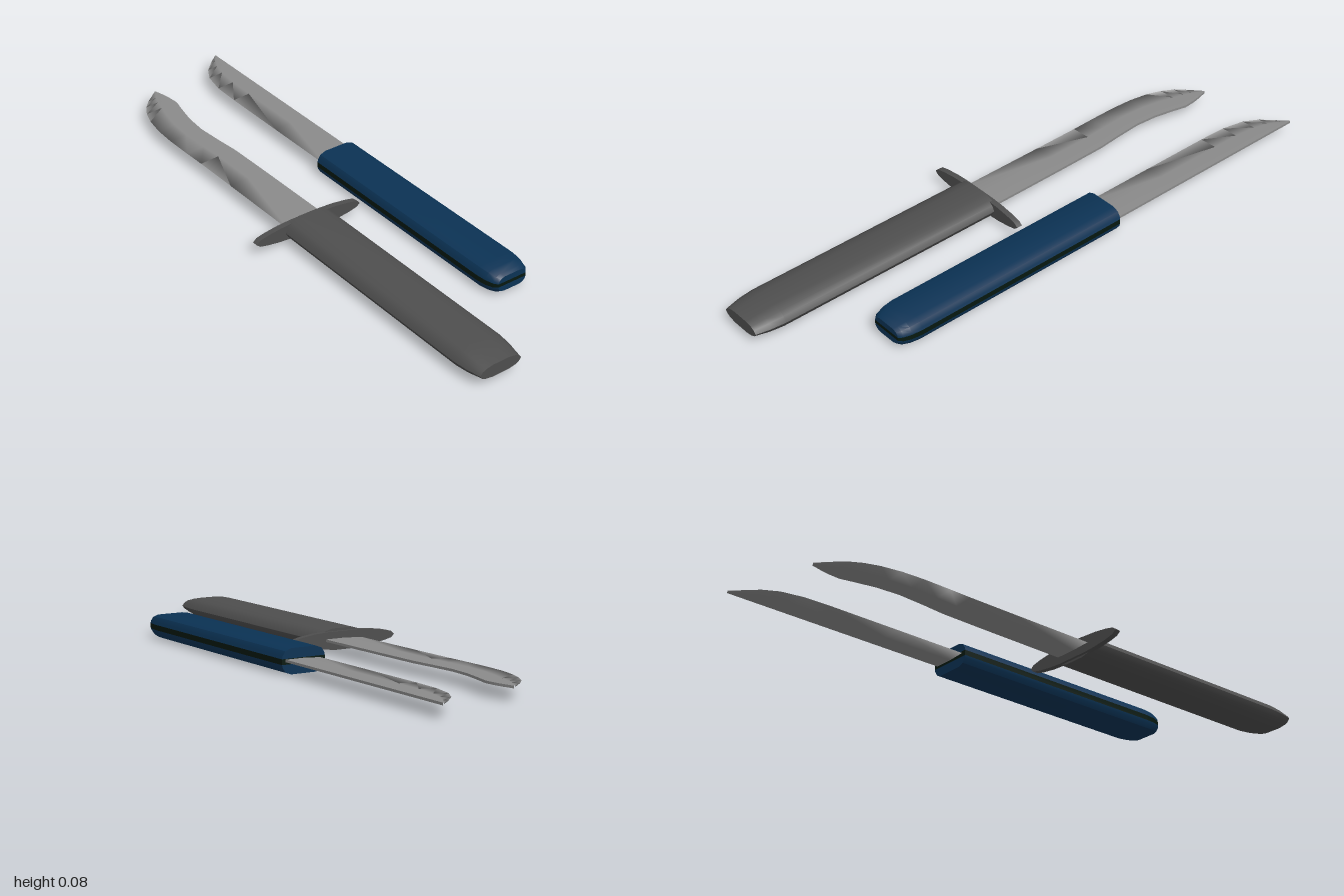
import * as THREE from 'three';
import { toCreasedNormals } from 'three/addons/utils/BufferGeometryUtils.js';

const material = (name, color) => {
  const m = new THREE.MeshStandardMaterial({ color });
  m.name = name;
  return m;
};

// Skin rings of [x, y, z] points; each ring runs up its -z side and down its +z side.
// "bands" picks the strips between ring points; caps join mirrored points of the end rings.
function loft(rings, bands, { caps = false, crease = 0 } = {}) {
  const n = rings[0].length, index = [];
  const quad = (a, b, c, d) => index.push(a, b, c, a, c, d);
  for (let r = 0; r < rings.length - 1; r++)
    for (const i of bands) {
      const j = (i + 1) % n, a = r * n, b = a + n;
      quad(a + i, a + j, b + j, b + i);
    }
  if (caps) {
    const e = (rings.length - 1) * n;
    for (const k of bands) {
      if (k >= n / 2 - 1) continue;
      quad(n - 1 - k, n - 2 - k, k + 1, k);
      quad(e + k, e + k + 1, e + n - 2 - k, e + n - 1 - k);
    }
  }
  const g = new THREE.BufferGeometry();
  g.setAttribute('position', new THREE.Float32BufferAttribute(rings.flat(2), 3));
  g.setIndex(index);
  if (crease) return toCreasedNormals(g, crease);
  g.computeVertexNormals();
  return g;
}

// Ring mirrored in z from half a section of [half width, height]
const mirrored = (x, cy, cz, half, sz, sy) => [
  ...half.map(([w, h]) => [x, cy + h * sy, cz - w * sz]),
  ...[...half].reverse().map(([w, h]) => [x, cy + h * sy, cz + w * sz]),
];

const range = (n) => [...Array(n).keys()];

export function createModel() {
  const model = new THREE.Group();
  const steel = material('steel', 0x8a8a8a);
  const grey = material('dark grey', 0x4e4e4e);
  const blue = material('navy blue', 0x0b3254);
  const green = material('dark green', 0x07180f);

  const add = (parent, name, geometry, mat) => {
    const mesh = new THREE.Mesh(geometry, mat);
    mesh.name = name;
    parent.add(mesh);
  };

  // Blade from stations of [x, spine z, edge z]: flat by the spine, ground to the edge
  const addBlade = (parent, stations) => {
    const y = 0.044, h = 0.004;
    const rings = stations.map(([x, s, e]) => {
      const m = s + (e - s) * 0.5;
      return [[x, y - h, s], [x, y + h, s], [x, y + h, m], [x, y, e], [x, y - h, m]];
    });
    add(parent, 'blade', loft(rings, [1, 2, 3, 4]), steel);
    add(parent, 'bladeSpine', loft(rings, [0]), steel);
  };

  // Knife with the blue handle
  const plain = new THREE.Group();
  plain.name = 'plainKnife';
  model.add(plain);
  addBlade(plain, [
    [-1, -0.285, -0.282], [-0.97, -0.285, -0.245], [-0.93, -0.285, -0.205],
    [-0.88, -0.285, -0.177], [-0.8, -0.285, -0.161], [-0.7, -0.285, -0.158],
    [-0.45, -0.285, -0.158], [-0.17, -0.285, -0.158],
  ]);
  const grip = [
    [0.045, -0.041], [0.066, -0.033], [0.076, -0.018], [0.078, -0.009],
    [0.078, 0.009], [0.076, 0.018], [0.066, 0.033], [0.045, 0.041],
  ];
  const gripRings = [
    [-0.19, 1, 1], [0.62, 1, 1], [0.655, 0.95, 0.93], [0.682, 0.84, 0.8], [0.694, 0.7, 0.64],
  ].map(([x, sz, sy]) => mirrored(x, 0.041, -0.22, grip, sz, sy));
  const seams = [3, 11];
  add(plain, 'handle', loft(gripRings, range(16).filter((i) => !seams.includes(i)),
    { caps: true, crease: 0.6 }), blue);
  add(plain, 'handleSeam', loft(gripRings, seams, { caps: true, crease: 0.6 }), green);

  // Knife with the cross guard
  const guarded = new THREE.Group();
  guarded.name = 'guardedKnife';
  model.add(guarded);
  addBlade(guarded, [
    [-0.91, 0.032, 0.037], [-0.87, 0.022, 0.087], [-0.84, 0.017, 0.115],
    [-0.8, 0.014, 0.138], [-0.75, 0.026, 0.155], [-0.68, 0.04, 0.167],
    [-0.6, 0.046, 0.171], [-0.5, 0.039, 0.17], [-0.42, 0.031, 0.168],
    [-0.25, 0.028, 0.167], [0.07, 0.025, 0.166],
  ]);
  const hilt = [
    [0.035, -0.036], [0.065, -0.029], [0.082, -0.018], [0.092, 0],
    [0.082, 0.018], [0.065, 0.029], [0.035, 0.036],
  ];
  const hiltRings = [[0.07, 1, 1], [0.9, 1, 1], [0.95, 0.95, 0.86], [1, 0.84, 0.6]]
    .map(([x, sz, sy]) => mirrored(x, 0.044, 0.093, hilt, sz, sy));
  add(guarded, 'handle', loft(hiltRings, range(14), { caps: true, crease: 0.6 }), grey);

  // Thin lens-shaped guard
  const lens = [
    [0.06, -0.028], [0.11, -0.025], [0.16, -0.018], [0.19, -0.011], [0.203, 0],
    [0.19, 0.011], [0.16, 0.018], [0.11, 0.025], [0.06, 0.028],
  ];
  const guardRings = [0.06, 0.08].map((x) => mirrored(x, 0.043, 0.093, lens, 1, 1));
  add(guarded, 'guard', loft(guardRings, range(18), { caps: true, crease: 0.6 }), grey);

  return model;
}
